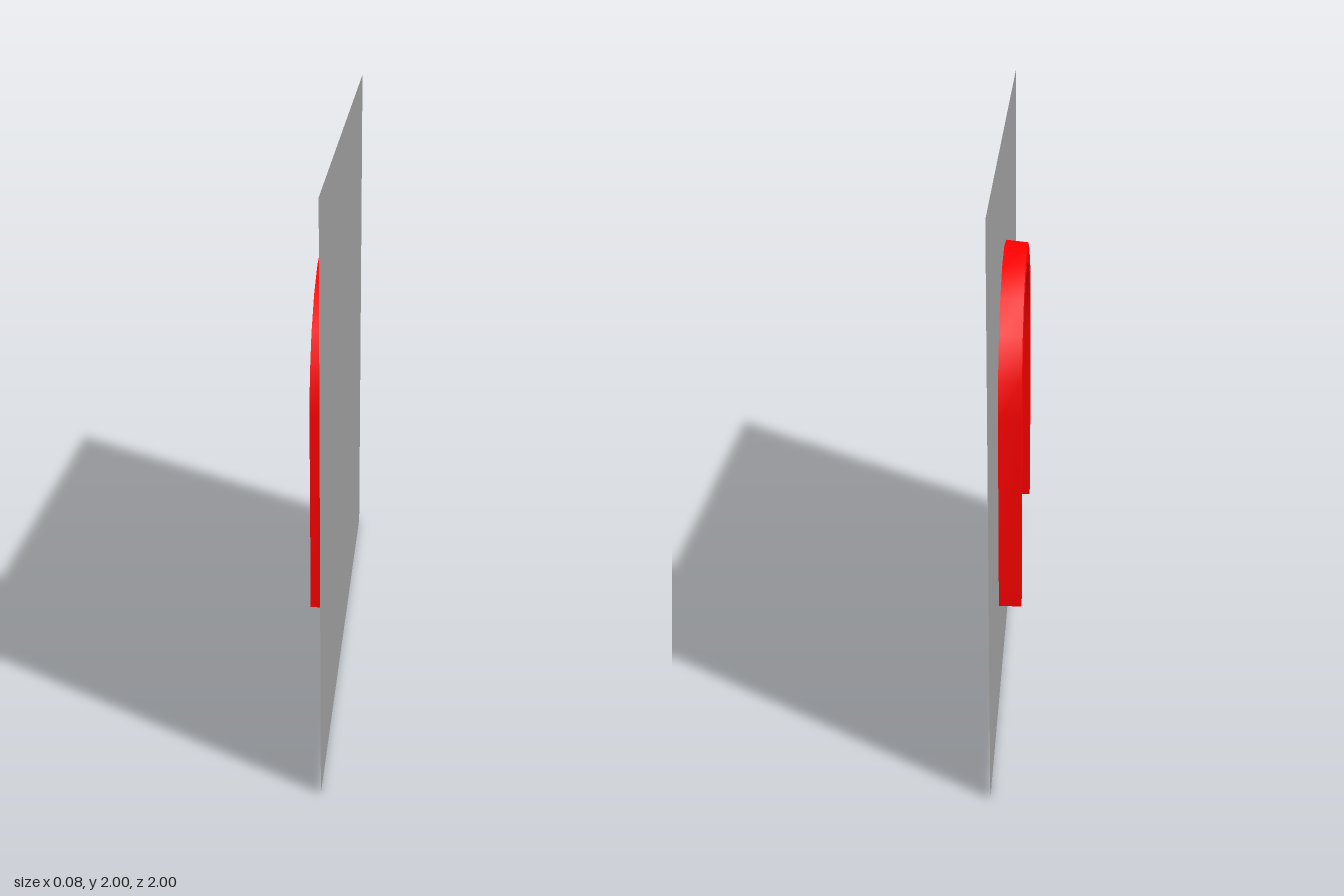
import * as THREE from 'three';
import { toCreasedNormals } from 'three/addons/utils/BufferGeometryUtils.js';

const WALL_X = 0.04, BACK_X = 0.0395;      // wall plane and the back of the door
const MID_Z = 0.02, BASE = 0.396, SPRING = 1.12;
const OUTER = 0.46, INNER = 0.39, SEGMENTS = 10;

const red = new THREE.MeshStandardMaterial({ color: 0xff0000 });
const grey = new THREE.MeshStandardMaterial({ color: 0x9c9c9c, side: THREE.DoubleSide });

// Points of a half-circle, from the +z side over the top to the -z side
function arc(radius) {
  const points = [];
  for (let i = 0; i <= SEGMENTS; i++) {
    const a = (i / SEGMENTS) * Math.PI;
    points.push(new THREE.Vector2(MID_Z + radius * Math.cos(a), SPRING + radius * Math.sin(a)));
  }
  return points;
}

// Height of the segmented arch above a given z
function archHeight(z, radius) {
  const p = arc(radius);
  for (let i = 0; i < SEGMENTS; i++) {
    if (z <= p[i].x && z >= p[i + 1].x) {
      const t = (p[i].x - z) / (p[i].x - p[i + 1].x);
      return p[i].y + t * (p[i + 1].y - p[i].y);
    }
  }
  return SPRING;
}

// Extrudes an outline drawn in (z, y) from the wall towards -x
function slab(name, points, frontX) {
  const geometry = new THREE.ExtrudeGeometry(new THREE.Shape(points), {
    depth: BACK_X - frontX, bevelEnabled: false,
  });
  geometry.rotateY(-Math.PI / 2).translate(BACK_X, 0, 0);
  const mesh = new THREE.Mesh(geometry, red);
  mesh.name = name;
  return mesh;
}

export function createModel() {
  const model = new THREE.Group();
  model.name = 'archedDoorOnWall';

  // Wall
  const wall = new THREE.Mesh(new THREE.PlaneGeometry(2, 2), grey);
  wall.name = 'wall';
  wall.rotation.y = -Math.PI / 2;
  wall.position.set(WALL_X, 1, 0);
  model.add(wall);

  const door = new THREE.Group();
  door.name = 'door';
  model.add(door);

  // Arched frame: up the outside, back down the inside
  const frame = slab('doorFrame', [
    new THREE.Vector2(MID_Z + OUTER, BASE),
    ...arc(OUTER),
    new THREE.Vector2(MID_Z - OUTER, BASE),
    new THREE.Vector2(MID_Z - INNER, BASE),
    ...arc(INNER).reverse(),
    new THREE.Vector2(MID_Z + INNER, BASE),
  ], -WALL_X);
  // The arch drops slightly towards its face and is shaded smoothly
  const pos = frame.geometry.attributes.position;
  for (let i = 0; i < pos.count; i++) {
    const rise = pos.getY(i) - SPRING;
    if (rise > 0) pos.setY(i, SPRING + rise * (pos.getX(i) < 0 ? 0.99 : 1.01));
  }
  frame.geometry = toCreasedNormals(frame.geometry, 0.5);
  door.add(frame);

  // Five planks, cut to the arch, with narrow uneven gaps
  const width = (2 * INNER) / 5;
  const feet = [0.4, 0.41, 0.402, 0.406, 0.402];
  const skew = [0.002, -0.002, 0.003, -0.002, 0.002];
  for (let i = 0; i < 5; i++) {
    const z0 = MID_Z - INNER + i * width + (i > 0 ? 0.005 : 0);
    const z1 = MID_Z - INNER + (i + 1) * width - (i < 4 ? 0.005 : 0);
    const top = [];
    for (let k = 0; k <= 4; k++) {
      const z = z1 + (z0 - z1) * (k / 4);
      top.push(new THREE.Vector2(z, archHeight(z, INNER)));
    }
    door.add(slab('plank', [
      new THREE.Vector2(z0 + skew[i], feet[i]),
      new THREE.Vector2(z1 + skew[i], feet[i] + skew[i] * 2),
      ...top,
    ], 0.01 + skew[i]));
  }

  // Thin backing seen through the gaps
  door.add(slab('backing', [
    new THREE.Vector2(MID_Z + INNER, BASE + 0.015),
    ...arc(INNER),
    new THREE.Vector2(MID_Z - INNER, BASE + 0.015),
  ], 0.03));

  // Cross band, just short of the frame on both sides
  door.add(slab('crossBand', [
    new THREE.Vector2(-0.36, 0.795),
    new THREE.Vector2(0.38, 0.775),
    new THREE.Vector2(0.38, 0.92),
    new THREE.Vector2(-0.36, 0.925),
  ], -0.01));

  return model;
}
